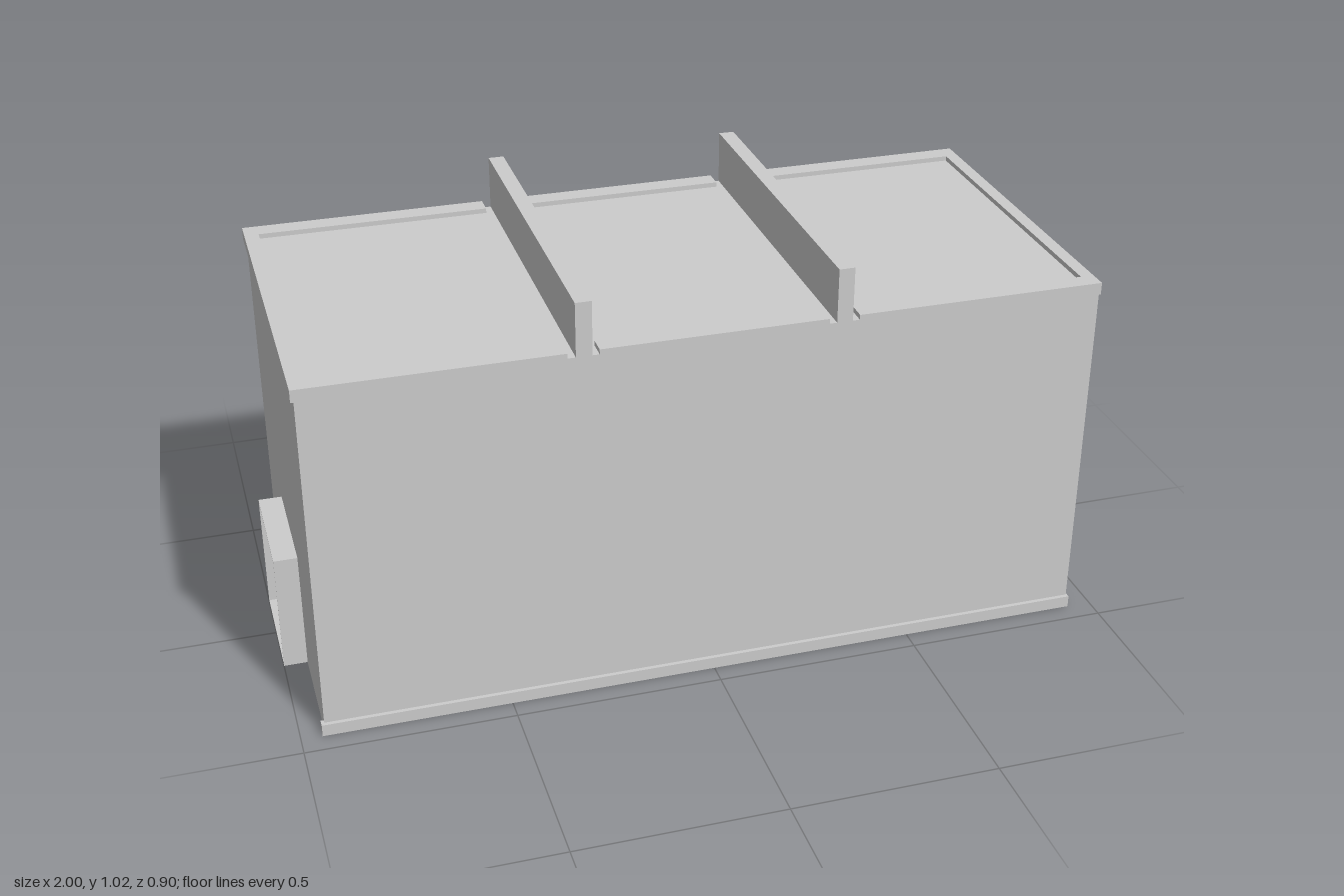
import * as THREE from 'three';

const material = new THREE.MeshStandardMaterial({ color: 0xcccccc, flatShading: true });

// Box given by its limits on each axis
function block(name, [x0, x1], [y0, y1], [z0, z1]) {
  const mesh = new THREE.Mesh(new THREE.BoxGeometry(x1 - x0, y1 - y0, z1 - z0), material);
  mesh.name = name;
  mesh.position.set((x0 + x1) / 2, (y0 + y1) / 2, (z0 + z1) / 2);
  return mesh;
}

// End wall with a doorway cut up from the ground
function endWall(x0, thickness) {
  const s = new THREE.Shape();
  [[-0.44, 0], [-0.147, 0], [-0.147, 0.3], [0.143, 0.3], [0.143, 0], [0.437, 0], [0.437, 0.87], [-0.44, 0.87]]
    .forEach(([x, y], i) => (i ? s.lineTo(x, y) : s.moveTo(x, y)));
  const geometry = new THREE.ExtrudeGeometry(s, { depth: thickness, bevelEnabled: false });
  geometry.rotateY(Math.PI / 2); // shape x becomes -z, depth becomes +x
  const mesh = new THREE.Mesh(geometry, material);
  mesh.name = 'endWall';
  mesh.position.x = x0;
  return mesh;
}

export function createModel() {
  const model = new THREE.Group();
  model.name = 'building';
  const left = 0.937, right = -0.943, front = 0.44, back = -0.437, t = 0.01;

  // Hollow shell
  model.add(block('floor', [right, left], [0, 0.005], [back, front]));
  model.add(block('frontWall', [right, left], [0, 0.87], [front - t, front]));
  model.add(block('backWall', [right, left], [0, 0.87], [back, back + t]));
  model.add(endWall(left - t, t), endWall(right, t));

  // Base strips along the long walls
  model.add(block('frontBaseStrip', [-0.95, 0.94], [0, 0.03], [front - t, 0.45]));
  model.add(block('backBaseStrip', [-0.95, 0.94], [0, 0.03], [-0.45, back + t]));

  // Thin open porches around both doorways
  for (const [name, x] of [['leftPorch', [left, 1]], ['rightPorch', [-1, right]]]) {
    const porch = new THREE.Group();
    porch.name = name;
    porch.add(block('porchRoof', x, [0.297, 0.3], [-0.147, 0.147]));
    porch.add(block('porchFloor', x, [0, 0.004], [-0.147, 0.147]));
    for (const side of [-1, 1]) {
      const z = side * 0.1455;
      porch.add(block('porchSide', x, [0.004, 0.297], [z - 0.0015, z + 0.0015]));
    }
    model.add(porch);
  }

  // Roof panel, set down inside the rim
  model.add(block('roofPanel', [right, left], [0.87, 0.888], [back, front]));

  // Rim: end bars, and front and back bars broken at the fins
  model.add(block('leftRim', [0.91, 0.942], [0.87, 0.9], [-0.45, front]));
  model.add(block('rightRim', [-0.95, -0.915], [0.87, 0.9], [-0.45, front]));
  for (const x of [[-0.915, -0.345], [-0.272, 0.265], [0.338, 0.91]]) {
    model.add(block('frontRim', x, [0.87, 0.9], [0.395, front]));
    model.add(block('backRim', x, [0.87, 0.9], [-0.45, -0.4]));
  }

  // Upright fins across the roof
  for (const x of [-0.307, 0.302]) {
    model.add(block('roofFin', [x - 0.019, x + 0.019], [0.87, 1.02], [back, front]));
  }

  return model;
}
